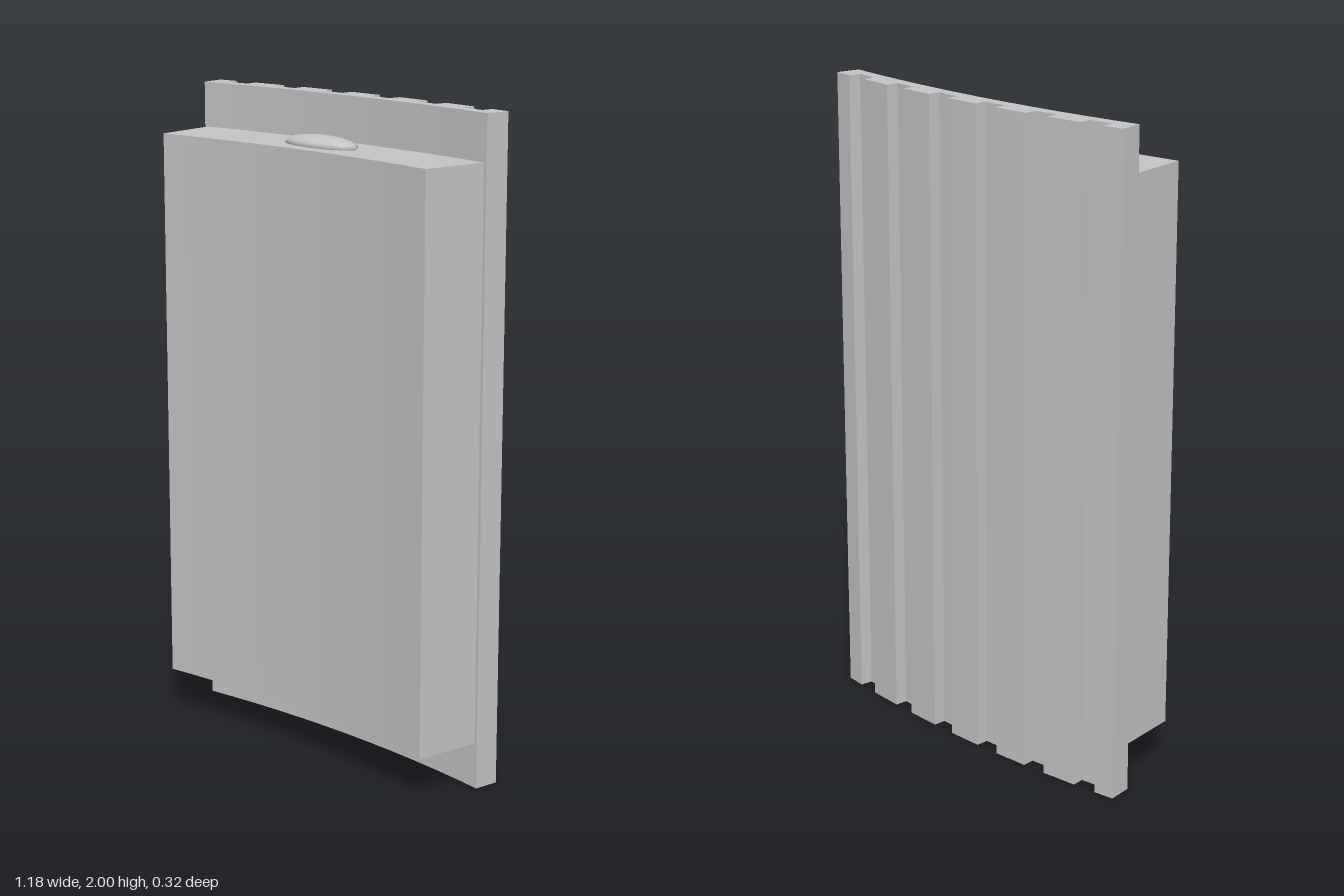
import * as THREE from 'three';

const CENTRE_Z = 4.102; // axis of the curved panel
const OUTER = 4.265, GROOVE = 4.226, SEAT = 4.188, INNER = 3.978;

// Point on an arc about the panel axis, in plan (shape y = -z)
const polar = (r, a) => new THREE.Vector2(r * Math.sin(a), r * Math.cos(a) - CENTRE_Z);

const arc = (r, from, to, n) =>
  Array.from({ length: n + 1 }, (_, i) => polar(r, from + ((to - from) * i) / n));

// Extrude a plan outline upwards between two heights
function slab(points, y0, y1) {
  const g = new THREE.ExtrudeGeometry(new THREE.Shape(points), { depth: y1 - y0, bevelEnabled: false });
  g.rotateX(-Math.PI / 2);
  g.translate(0, y0, 0);
  return g;
}

export function createModel() {
  const group = new THREE.Group();
  const grey = new THREE.MeshStandardMaterial({ color: 0xc4c4c4 });
  grey.name = 'grey';

  const add = (name, geometry) => {
    const mesh = new THREE.Mesh(geometry, grey);
    mesh.name = name;
    group.add(mesh);
    return mesh;
  };

  // Back plate: castellated outer edge, smooth inner arc
  const half = [0.058, 0.139, 0.255, 0.333, 0.451, 0.527, 0.593].map((x) => x / OUTER);
  const edges = [...half.map((a) => -a).reverse(), ...half];
  const outline = arc(SEAT, half[6], -half[6], 12);
  for (let i = 0; i < edges.length - 1; i++) {
    const r = i % 2 === 0 ? OUTER : GROOVE;
    outline.push(polar(r, edges[i]), polar(r, edges[i + 1]));
  }
  add('ribbedBackPlate', slab(outline, 0, 2));

  // Thick curved block on the front of the plate
  const a = 0.1364;
  add('frontBlock', slab([...arc(INNER, a, -a, 12), ...arc(SEAT, -a, a, 12)], 0.14, 1.862));

  // Flattened oval studs on the block's top and bottom
  for (const [name, y] of [['topStud', 1.867], ['bottomStud', 0.135]]) {
    const stud = add(name, new THREE.SphereGeometry(1, 12, 10));
    stud.scale.set(0.142, 0.027, 0.057);
    stud.position.set(0, y, 0.024);
  }
  return group;
}
